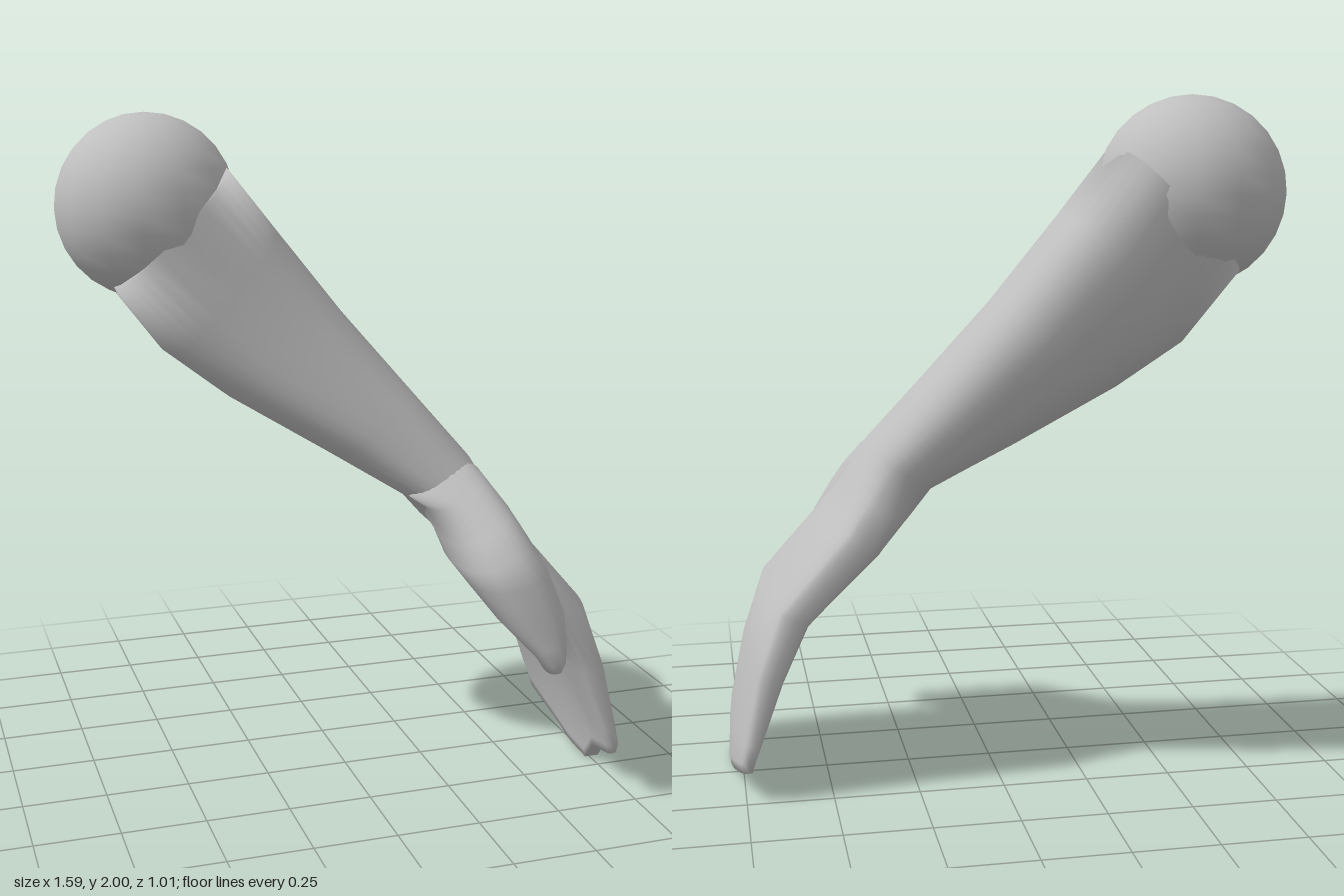
import * as THREE from 'three';

const SIDES = 32;
const soften = (v, e) => Math.sign(v) * Math.pow(Math.abs(v), e);

// Skin through cross-sections:
// [topX, topY, underX, underY, zMin, zMax, thicknessPower, widthPower, edgeCurl, backTaper]
function loft(sections, endLine) {
  const pos = [], index = [];
  sections.forEach(([ax, ay, bx, by, z0, z1, eu, ez, curl = 0, taper = 0], i) => {
    for (let j = 0; j < SIDES; j++) {
      const t = (j / SIDES) * Math.PI * 2;
      const u = soften(Math.cos(t), eu) / 2;
      let s = soften(Math.sin(t), ez);
      if (s < 0) s *= 1 - taper * (0.5 - u);
      const z = (z0 + z1) / 2 + (s * (z1 - z0)) / 2;
      const x = (ax + bx) / 2 + u * (ax - bx) + curl * (0.5 - s * s);
      let y = (ay + by) / 2 + u * (ay - by);
      if (endLine && i >= sections.length - 2) y += endLine(z);
      pos.push(x, y, z);
    }
  });
  for (let i = 0; i < sections.length - 1; i++) {
    for (let j = 0; j < SIDES; j++) {
      const k = (j + 1) % SIDES;
      const a = i * SIDES + j, b = i * SIDES + k;
      index.push(a, b, a + SIDES, b, b + SIDES, a + SIDES);
    }
  }
  // End caps: strips across each ring, joining mirrored points
  [0, sections.length - 1].forEach((i, end) => {
    const at = (j) => i * SIDES + ((j + SIDES) % SIDES);
    for (let n = 0; n < SIDES / 2; n++) {
      const q = SIDES / 4;
      const a = at(q - n), b = at(q - n - 1), c = at(q + n), d = at(q + n + 1);
      if (end) index.push(a, c, b, b, c, d);
      else index.push(a, b, c, b, d, c);
    }
  });
  const geo = new THREE.BufferGeometry();
  geo.setAttribute('position', new THREE.Float32BufferAttribute(pos, 3));
  geo.setIndex(index);
  geo.computeVertexNormals();
  return geo;
}

// Height of the uneven fingertips: the middle fingers reach lowest
function fingertipLine(z) {
  if (z > 0.2) return 0.06 + (z - 0.2) * 0.2;
  if (z > 0.08) return 0.005;
  return 0.005 + (0.08 - z) * 0.28;
}

export function createModel() {
  const group = new THREE.Group();
  const grey = new THREE.MeshStandardMaterial({ color: 0xbfbfbf });
  grey.name = 'plain grey';

  const add = (name, geometry) => {
    const mesh = new THREE.Mesh(geometry, grey);
    mesh.name = name;
    group.add(mesh);
    return mesh;
  };

  // Ball joint at the upper end
  add('elbowBall', new THREE.SphereGeometry(0.268, 14, 14)).position.set(-0.53, 1.732, -0.243);

  // Forearm flowing into the wrist and the flat mitten hand
  add('forearmAndHand', loft([
    [-0.31, 1.85, -0.65, 1.51, -0.485, 0.0, 0.6, 0.65, 0, 0.15],
    [-0.17, 1.67, -0.50, 1.31, -0.475, 0.025, 0.7, 0.7, 0, 0.25],
    [0.02, 1.42, -0.33, 1.18, -0.40, 0.075, 0.75, 0.75, 0, 0.2],
    [0.20, 1.20, -0.05, 1.01, -0.305, 0.14, 0.8, 0.8, 0, 0.1],
    [0.36, 1.00, 0.18, 0.87, -0.185, 0.21, 0.8, 0.8],
    [0.43, 0.88, 0.25, 0.79, -0.21, 0.26, 0.7, 0.85],
    [0.48, 0.80, 0.34, 0.70, -0.25, 0.31, 0.55, 0.9, 0.01],
    [0.67, 0.57, 0.55, 0.51, -0.25, 0.345, 0.45, 0.9, 0.02],
    [0.73, 0.38, 0.63, 0.35, -0.25, 0.362, 0.4, 0.9, 0.02],
    [0.77, 0.18, 0.70, 0.17, -0.25, 0.372, 0.4, 0.9, 0.02],
    [0.78, 0.03, 0.72, 0.03, -0.245, 0.372, 0.4, 0.9, 0.02],
    [0.775, 0.00, 0.73, 0.00, -0.235, 0.36, 0.4, 0.9, 0.02],
  ], fingertipLine));

  // Thumb swelling out of the wrist, webbed to the hand, tapering to its tip
  add('thumb', loft([
    [0.30, 1.04, 0.13, 0.91, -0.10, 0.165, 0.85, 0.85],
    [0.37, 0.97, 0.205, 0.86, -0.08, 0.27, 0.85, 0.85],
    [0.42, 0.885, 0.24, 0.78, 0.00, 0.37, 0.85, 0.85],
    [0.455, 0.81, 0.25, 0.72, 0.06, 0.445, 0.85, 0.85],
    [0.50, 0.72, 0.28, 0.67, 0.16, 0.47, 0.85, 0.85],
    [0.535, 0.60, 0.355, 0.565, 0.27, 0.487, 0.8, 0.85],
    [0.53, 0.52, 0.41, 0.505, 0.35, 0.497, 0.8, 0.85],
    [0.52, 0.465, 0.45, 0.46, 0.385, 0.505, 0.8, 0.8],
    [0.51, 0.433, 0.467, 0.43, 0.41, 0.485, 0.8, 0.8],
  ]));

  return group;
}
